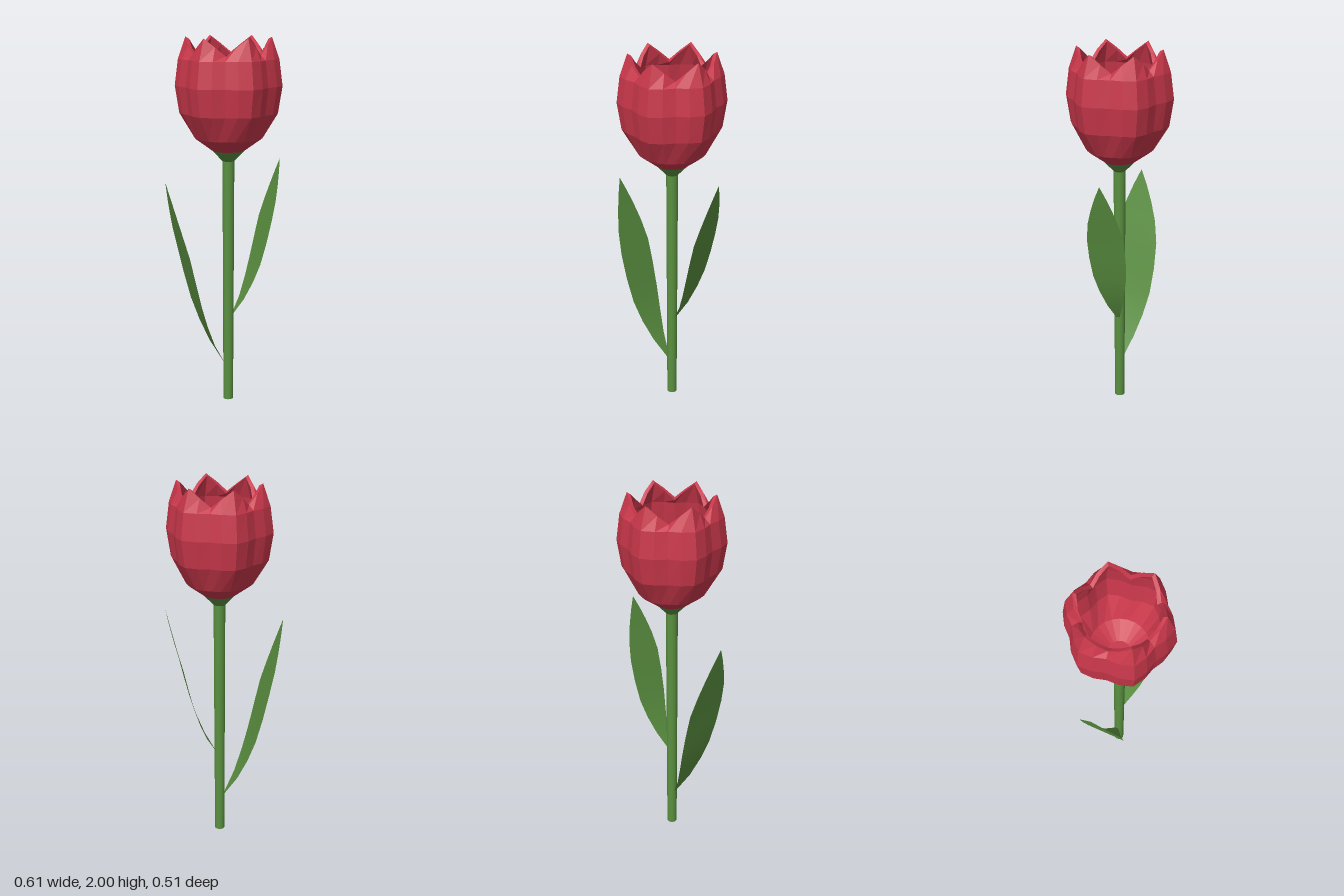
import * as THREE from 'three';

const red = new THREE.MeshStandardMaterial({ color: 0xc8374a });
red.name = 'petal red';
const green = new THREE.MeshStandardMaterial({ color: 0x5a9040 });
green.name = 'stem green';
const leafGreen = new THREE.MeshStandardMaterial({ color: 0x5a8f40, side: THREE.DoubleSide });
leafGreen.name = 'leaf green';

const AXIS_X = 0.018; // stem and blossom axis

// Skin a list of equal-length point rows into quads
function skin(rows, flat) {
  const n = rows[0].length;
  const index = [];
  for (let j = 0; j < rows.length - 1; j++) {
    for (let i = 0; i < n - 1; i++) {
      const a = j * n + i, b = a + n;
      index.push(a, b, a + 1, a + 1, b, b + 1);
    }
  }
  let geo = new THREE.BufferGeometry().setFromPoints(rows.flat());
  geo.setIndex(index);
  if (flat) geo = geo.toNonIndexed();
  geo.computeVertexNormals();
  return geo;
}

function add(group, name, geo, material) {
  const mesh = new THREE.Mesh(geo, material);
  mesh.name = name;
  group.add(mesh);
  return mesh;
}

// Six-lobed cup: each ring is [ridge radius, ridge y, valley radius, valley y]
function cup(rings) {
  const sides = 24;
  return skin(rings.map(([r0, y0, r1, y1]) => {
    const row = [];
    for (let i = 0; i <= sides; i++) {
      const t = [0, 0.5, 1, 0.5][i % 4];
      const a = (i / sides) * Math.PI * 2;
      const r = r0 + (r1 - r0) * t;
      row.push(new THREE.Vector3(Math.cos(a) * r, y0 + (y1 - y0) * t, Math.sin(a) * r));
    }
    return row;
  }), true);
}

// Leaf sections: [height, distance from axis, half width]
const leafSections = [
  [0, 0.022, 0.006], [0.12, 0.092, 0.05], [0.24, 0.142, 0.086], [0.36, 0.182, 0.112],
  [0.5, 0.218, 0.124], [0.64, 0.251, 0.125], [0.76, 0.284, 0.104],
  [0.86, 0.309, 0.073], [0.95, 0.33, 0.038], [1.03, 0.348, 0.001],
];

function leaf(scale) {
  return skin(leafSections.map(([h, r, w]) => [-1, 0, 1].map(
    (s) => new THREE.Vector3(r * scale, h * scale, s * w * scale))), false);
}

export function createModel() {
  const model = new THREE.Group();
  model.name = 'flower';

  // Stem and the flared base under the blossom
  add(model, 'stem', new THREE.CylinderGeometry(0.032, 0.027, 1.36, 16), green)
    .position.set(AXIS_X, 0.68, 0);
  add(model, 'receptacle', new THREE.CylinderGeometry(0.086, 0.032, 0.057, 24), green)
    .position.set(AXIS_X, 1.3715, 0);

  // Blossom: outer wall up to the pointed rim, then down the inside
  const blossom = new THREE.Group();
  blossom.name = 'blossom';
  blossom.position.x = AXIS_X;
  model.add(blossom);
  add(blossom, 'petalsOutside', cup([
    [0.086, 1.4, 0.086, 1.4], [0.181, 1.467, 0.175, 1.467],
    [0.262, 1.6, 0.23, 1.6], [0.285, 1.745, 0.247, 1.745],
    [0.267, 1.885, 0.23, 1.885], [0.227, 2.0, 0.2, 1.91],
  ]), red);
  add(blossom, 'petalsInside', cup([
    [0.227, 2.0, 0.2, 1.91], [0.208, 1.99, 0.18, 1.9],
    [0.245, 1.875, 0.208, 1.875], [0.262, 1.745, 0.225, 1.745],
    [0.24, 1.605, 0.208, 1.605], [0.155, 1.48, 0.155, 1.48],
    [0.06, 1.415, 0.06, 1.415], [0, 1.415, 0, 1.415],
  ]), red);

  // Two opposite leaves of the same shape at different heights and sizes
  const turn = Math.atan2(0.358, 0.934);
  for (const [name, y, scale, angle] of [
    ['lowerLeaf', 0.21, 1, Math.PI + turn],
    ['upperLeaf', 0.48, 0.838, turn],
  ]) {
    const mesh = add(model, name, leaf(scale), leafGreen);
    mesh.position.set(AXIS_X, y, 0);
    mesh.rotation.y = angle;
  }
  return model;
}
